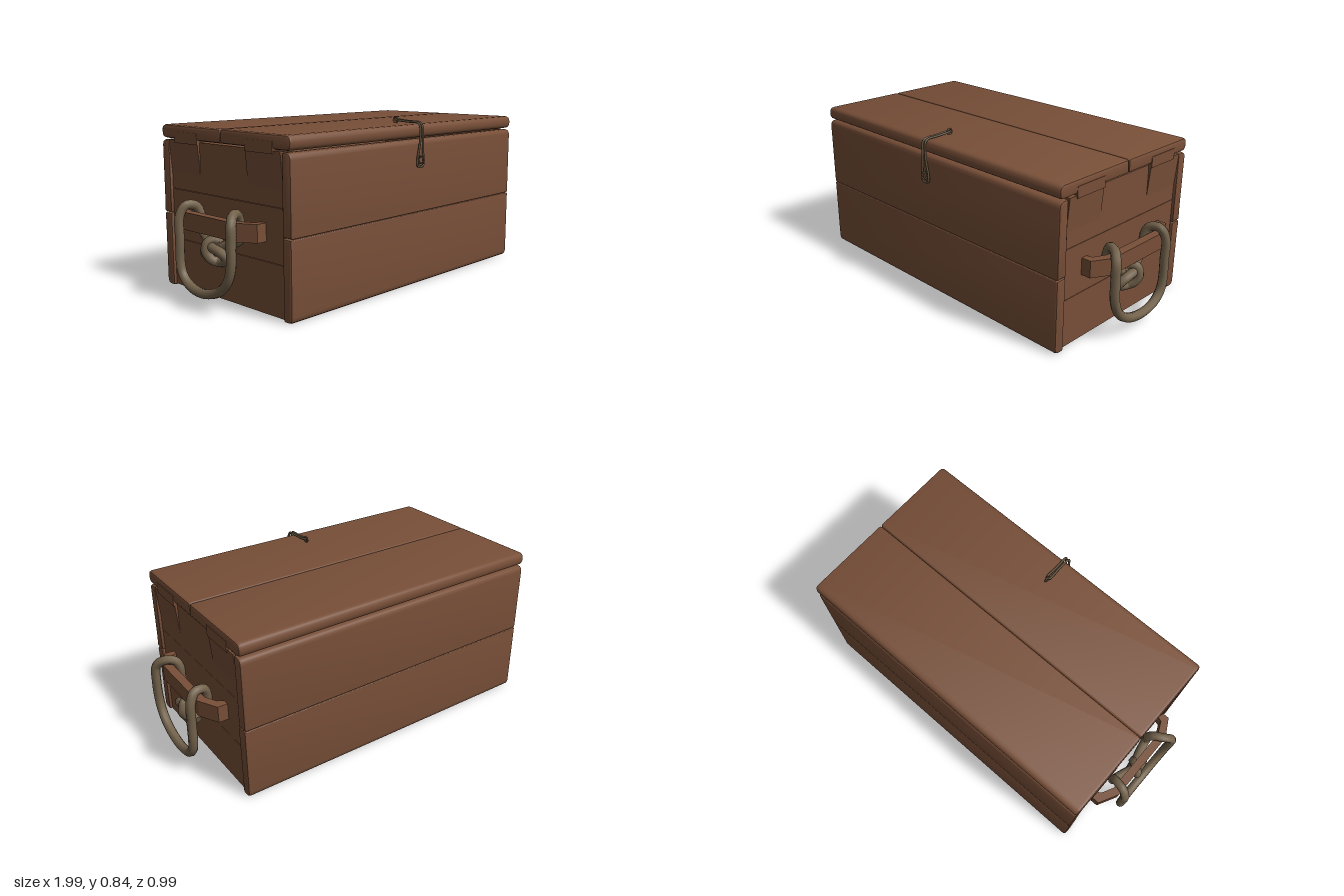
import * as THREE from 'three';
import { toCreasedNormals } from 'three/addons/utils/BufferGeometryUtils.js';

const wood = new THREE.MeshStandardMaterial({ color: 0x784f38 });
wood.name = 'brown wood';
const ropeMat = new THREE.MeshStandardMaterial({ color: 0x74634c });
ropeMat.name = 'rope';
const metal = new THREE.MeshStandardMaterial({ color: 0x62533f });
metal.name = 'dull metal';

const V = (x, y, z) => new THREE.Vector3(x, y, z);

function add(parent, name, geometry, material) {
  const mesh = new THREE.Mesh(geometry, material);
  mesh.name = name;
  parent.add(mesh);
  return mesh;
}

function polygon(points) {
  return new THREE.Shape(points.map(([x, y]) => new THREE.Vector2(x, y)));
}

// Long board along x; radii go: front-bottom, back-bottom, back-top, front-top
function board(z0, z1, y0, y1, radii, halfLength = 0.85, bevel = 0.012) {
  const corners = [[-z1, y0], [-z0, y0], [-z0, y1], [-z1, y1]].map(([x, y]) => new THREE.Vector2(x, y));
  const shape = new THREE.Shape();
  corners.forEach((c, i) => {
    const r = radii[i];
    const from = corners[(i + 3) % 4].clone().sub(c).setLength(r).add(c);
    const to = corners[(i + 1) % 4].clone().sub(c).setLength(r).add(c);
    if (i === 0) shape.moveTo(from.x, from.y);
    else shape.lineTo(from.x, from.y);
    shape.quadraticCurveTo(c.x, c.y, to.x, to.y);
  });
  shape.closePath();
  const depth = 2 * (halfLength - bevel);
  const geo = new THREE.ExtrudeGeometry(shape, {
    depth, curveSegments: 4, bevelEnabled: true, bevelThickness: bevel,
    bevelSize: bevel, bevelOffset: -bevel, bevelSegments: 2,
  });
  geo.translate(0, 0, -depth / 2);
  geo.rotateY(Math.PI / 2);
  return toCreasedNormals(geo, 0.7);
}

function tube(points, radius, closed = false, segments = 80, sides = 8) {
  const curve = new THREE.CatmullRomCurve3(points, closed, 'centripetal');
  return new THREE.TubeGeometry(curve, segments, radius, sides, closed);
}

// Rope with flat end caps; rows are [outward distance, y, z]
function rope(parent, name, rows, side, radius, segments) {
  const pts = rows.map(([x, y, z]) => V(side * x, y, z));
  add(parent, name, tube(pts, radius, false, segments), ropeMat);
  [[pts[0], pts[1]], [pts.at(-1), pts.at(-2)]].forEach(([end, inner]) => {
    const cap = add(parent, name + 'End', new THREE.CircleGeometry(radius, 8), ropeMat);
    cap.position.copy(end);
    cap.quaternion.setFromUnitVectors(V(0, 0, 1), end.clone().sub(inner).normalize());
  });
}

function buildEnd(side) {
  const end = new THREE.Group();
  end.name = side > 0 ? 'leftEnd' : 'rightEnd';

  // Three stacked end boards
  [[0.01, 0.249], [0.251, 0.499], [0.501, 0.742]].forEach(([y0, y1]) => {
    const geo = new THREE.BoxGeometry(0.05, y1 - y0, 0.82);
    add(end, 'endBoard', geo, wood).position.set(side * 0.81, (y0 + y1) / 2, -0.02);
  });

  // Tapered cheeks and the tabs that reach up over the lid edge
  [[0.157, 0.39, 0.157, 0.345], [-0.43, -0.197, -0.38, -0.195]].forEach(([z0, z1, t0, t1]) => {
    const cheek = new THREE.ExtrudeGeometry(
      polygon([[side * 0.81, 0.58], [side * 0.835, 0.58], [side * 0.849, 0.744], [side * 0.81, 0.744]]),
      { depth: z1 - z0, bevelEnabled: false });
    add(end, 'endCheek', cheek, wood).position.z = z0;
    const tab = new THREE.BoxGeometry(0.044, 0.055, t1 - t0);
    add(end, 'lidTab', tab, wood).position.set(side * 0.831, 0.758, (t0 + t1) / 2);
  });

  // Bowed handle bracket with a gap for the rope behind it
  const outline = [
    [0.83, -0.31], [0.885, -0.31], [0.937, -0.21], [0.937, 0.18], [0.885, 0.275], [0.83, 0.275],
    [0.83, 0.245], [0.865, 0.235], [0.895, 0.17], [0.895, -0.2], [0.865, -0.26], [0.83, -0.28],
  ].map(([x, z]) => [side * x, -z]);
  const bracket = new THREE.ExtrudeGeometry(polygon(outline), { depth: 0.084, bevelEnabled: false });
  bracket.rotateX(-Math.PI / 2);
  add(end, 'handleBracket', bracket, wood).position.y = 0.34;

  // Hanging rope loop draped over the bracket
  rope(end, 'ropeHandle', [
    [0.895, 0.275, 0.01], [0.878, 0.305, 0.07], [0.866, 0.33, 0.13], [0.866, 0.41, 0.13],
    [0.885, 0.448, 0.14], [0.93, 0.453, 0.165], [0.963, 0.42, 0.195], [0.97, 0.34, 0.2],
    [0.97, 0.23, 0.195], [0.97, 0.165, 0.17], [0.97, 0.115, 0.12], [0.97, 0.083, 0.045],
    [0.97, 0.074, -0.04], [0.97, 0.092, -0.12], [0.97, 0.135, -0.17], [0.97, 0.19, -0.187],
    [0.968, 0.3, -0.189], [0.963, 0.41, -0.192], [0.935, 0.456, -0.182], [0.885, 0.45, -0.17],
    [0.866, 0.41, -0.16], [0.866, 0.335, -0.15], [0.88, 0.31, -0.1], [0.905, 0.285, -0.03],
  ], side, 0.023, 120);

  // Knot strands
  rope(end, 'ropeKnot', [
    [0.905, 0.295, -0.05], [0.925, 0.285, 0.0], [0.92, 0.268, 0.055], [0.905, 0.243, 0.078],
    [0.895, 0.22, 0.05], [0.9, 0.213, 0.01], [0.925, 0.228, -0.01], [0.942, 0.265, -0.025],
    [0.93, 0.305, -0.022], [0.9, 0.315, -0.005], [0.88, 0.29, 0.01],
  ], side, 0.023, 60);
  rope(end, 'ropeTail', [
    [0.885, 0.295, 0.03], [0.895, 0.275, -0.01], [0.9, 0.255, -0.05], [0.9, 0.237, -0.098],
  ], side, 0.023, 16);
  return end;
}

export function createModel() {
  const chest = new THREE.Group();
  chest.name = 'woodenChest';

  // Front, back and lid boards, rounded on their exposed corners
  const soft = 0.03, crisp = 0.005;
  add(chest, 'lowerFrontBoard', board(0.395, 0.452, 0.003, 0.374, [soft, 0.012, crisp, crisp]), wood);
  add(chest, 'upperFrontBoard', board(0.395, 0.452, 0.377, 0.742, [crisp, crisp, 0.012, soft]), wood);
  add(chest, 'lowerBackBoard', board(-0.49, -0.432, 0.003, 0.374, [0.012, soft, crisp, crisp]), wood);
  add(chest, 'upperBackBoard', board(-0.49, -0.432, 0.377, 0.742, [crisp, crisp, soft, 0.012]), wood);
  add(chest, 'frontLidBoard', board(-0.019, 0.453, 0.749, 0.816, [soft, crisp, 0.01, soft], 0.851, 0.015), wood);
  add(chest, 'backLidBoard', board(-0.49, -0.021, 0.749, 0.816, [crisp, soft, soft, 0.01], 0.851, 0.015), wood);

  // Floor
  add(chest, 'floor', new THREE.BoxGeometry(1.66, 0.03, 0.84), wood).position.set(0, 0.026, -0.02);

  chest.add(buildEnd(1), buildEnd(-1));

  // Wire latch bent over the lid edge
  const latch = new THREE.Group();
  latch.name = 'latch';
  const half = [
    [0.006, 0.832, 0.31], [0.007, 0.827, 0.39], [0.008, 0.824, 0.455], [0.009, 0.81, 0.469],
    [0.01, 0.75, 0.473], [0.016, 0.69, 0.47], [0.024, 0.64, 0.468], [0.02, 0.611, 0.469],
  ];
  const loop = [
    ...half.map(([x, y, z]) => V(x, y, z)),
    ...half.slice().reverse().map(([x, y, z]) => V(-x, y, z)),
  ];
  add(latch, 'latchWire', tube(loop, 0.006, true, 90, 6), metal);

  // Six-sided staples holding the wire
  [[0.83, 0.306, 0.015], [0.641, 0.472, 0.019]].forEach(([y, z, r]) => {
    const ring = new THREE.TorusGeometry(r, 0.005, 5, 6);
    ring.rotateY(Math.PI / 2);
    add(latch, 'staple', ring, metal).position.set(0, y, z);
  });
  chest.add(latch);
  return chest;
}
